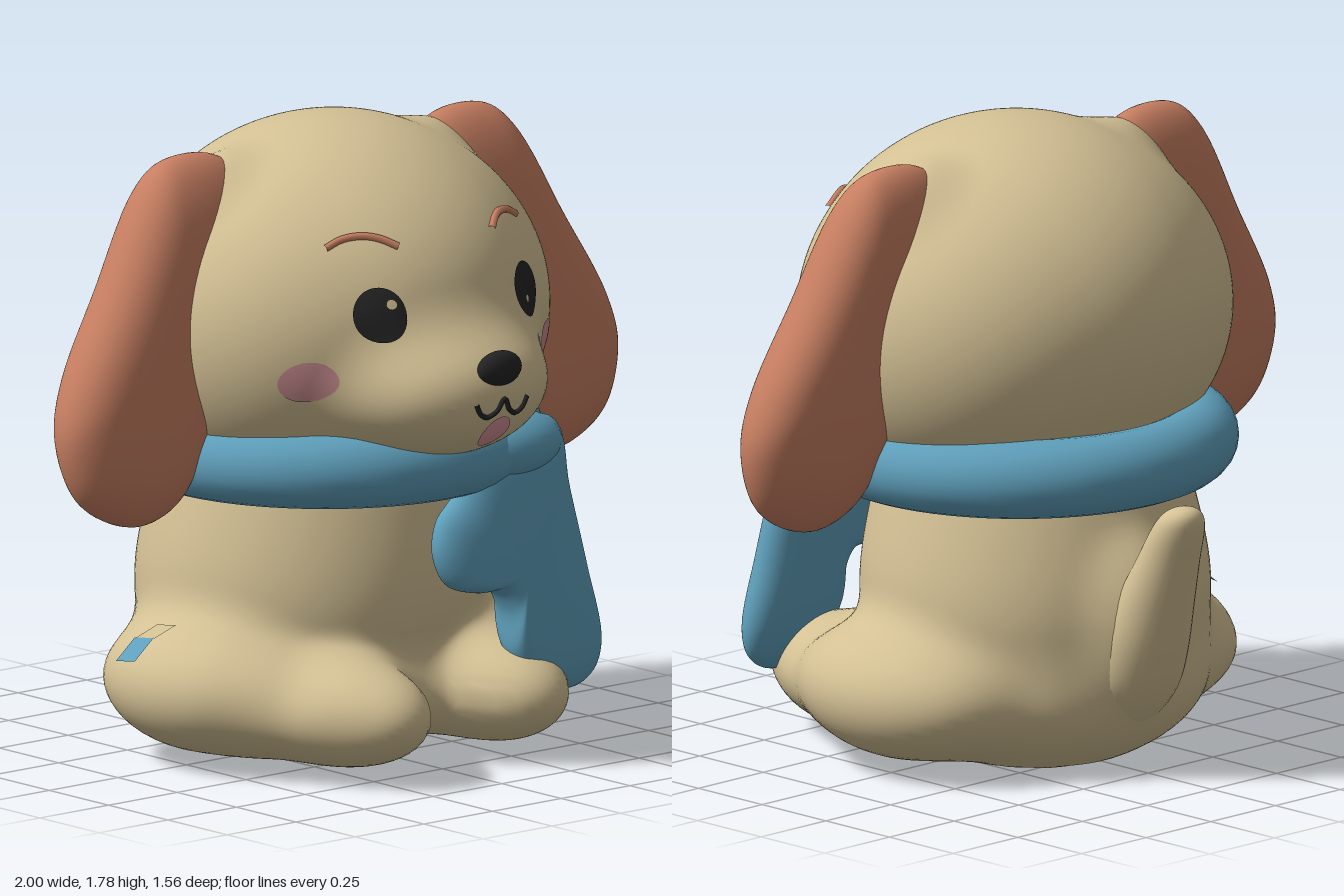
import * as THREE from 'three';
import { mergeVertices } from 'three/addons/utils/BufferGeometryUtils.js';

const mat = (name, color, side = THREE.FrontSide) => {
  const m = new THREE.MeshStandardMaterial({ color, side });
  m.name = name;
  return m;
};

// Signed distance (approximate) to an ellipsoid given as [cx, cy, cz, rx, ry, rz]
function ellipsoid(p, [cx, cy, cz, a, b, c]) {
  const x = p.x - cx, y = p.y - cy, z = p.z - cz;
  const k0 = Math.hypot(x / a, y / b, z / c);
  const k1 = Math.hypot(x / (a * a), y / (b * b), z / (c * c));
  return k1 < 1e-6 ? -Math.min(a, b, c) : k0 * (k0 - 1) / k1;
}

// Smoothly blended union of ellipsoids
const blend = (parts, k) => (p) => parts.reduce((d, e) => {
  const f = ellipsoid(p, e), h = Math.max(k - Math.abs(d - f), 0) / k;
  return Math.min(d, f) - h * h * k / 4;
}, 10);

// Walk along a ray until the blended surface is met
function march(field, origin, dir, t) {
  const p = new THREE.Vector3();
  for (let i = 0; i < 120; i++) {
    const d = field(p.copy(origin).addScaledVector(dir, t));
    if (d < 0.0001) break;
    t -= d * 0.6;
  }
  return p;
}

function smooth(geo) {
  geo.deleteAttribute('uv');
  geo.deleteAttribute('normal');
  const g = mergeVertices(geo, 1e-5);
  g.computeVertexNormals();
  return g;
}

// Sphere shrink-wrapped onto a blended surface
function wrap(field, center) {
  const g = new THREE.SphereGeometry(1, 144, 108), pos = g.attributes.position;
  const d = new THREE.Vector3();
  for (let i = 0; i < pos.count; i++) {
    d.fromBufferAttribute(pos, i).normalize();
    const p = march(field, center, d, 1.4);
    pos.setXYZ(i, p.x, Math.max(p.y, 0), p.z);
  }
  return smooth(g);
}

// Rounded cushion with a given front outline; zAt gives its mid-plane
function pillow(points, half, zAt, power) {
  const pts = points.map(([x, y]) => new THREE.Vector3(x, y, 0));
  if (THREE.ShapeUtils.isClockWise(pts)) pts.reverse();
  const curve = new THREE.CatmullRomCurve3(pts, true);
  const c = pts.reduce((s, p) => s.add(p), new THREE.Vector3()).divideScalar(pts.length);
  const g = new THREE.SphereGeometry(1, 96, 32), pos = g.attributes.position, uv = g.attributes.uv;
  for (let i = 0; i < pos.count; i++) {
    const a = Math.acos(THREE.MathUtils.clamp(pos.getY(i), -1, 1));
    const u = (Math.round(uv.getX(i) * 192) % 192) / 192;
    const p = curve.getPoint(u).sub(c).multiplyScalar(Math.pow(Math.max(Math.sin(a), 0), power)).add(c);
    pos.setXYZ(i, p.x, p.y, zAt(p.y) + half * Math.cos(a));
  }
  return smooth(g);
}

export function createModel() {
  const group = new THREE.Group();
  const fur = mat('tan fur', 0xd3c094), ear = mat('rust ear', 0xc67e61);
  const blue = mat('blue scarf', 0x5f9fbb), black = mat('black', 0x232323);
  const blush = mat('mauve blush', 0xc98c8f), pink = mat('pink tongue', 0xda949a);
  const add = (name, geo, material) => {
    const m = new THREE.Mesh(geo, material);
    m.name = name;
    group.add(m);
    return m;
  };
  const ball = (name, material, [x, y, z, a, b, c]) => {
    const m = add(name, new THREE.SphereGeometry(1, 32, 20), material);
    m.position.set(x, y, z);
    m.scale.set(a, b, c);
  };

  // Head with forehead, ear roots and muzzle
  const headField = blend([
    [0, 1.25, 0.03, 0.59, 0.525, 0.56],
    [0, 1.27, 0.19, 0.4, 0.35, 0.395],
    ...[-1, 1].flatMap((s) => [
      [s * 0.23, 1.21, 0.02, 0.4, 0.42, 0.44],
      [s * 0.37, 1.56, 0, 0.12, 0.13, 0.085],
    ]),
    [0, 1.095, 0.455, 0.33, 0.21, 0.305],
  ], 0.1);
  add('head', wrap(headField, new THREE.Vector3(0, 1.2, 0.1)), fur);

  // Sitting body with haunches, legs, feet and the root of the tail
  const bodyField = blend([
    [0, 0.6, -0.05, 0.455, 0.55, 0.455],
    [0, 0.42, -0.06, 0.485, 0.42, 0.465],
    [0, 0.22, -0.1, 0.47, 0.25, 0.42],
    [0.05, 0.44, -0.48, 0.13, 0.22, 0.13],
    [0, 0.18, 0.26, 0.25, 0.13, 0.18],
    ...[-1, 1].flatMap((s) => [
      [s * 0.43, 0.225, 0.01, 0.245, 0.19, 0.34],
      [s * 0.32, 0.185, 0.25, 0.2, 0.14, 0.28],
      [s * 0.25, 0.185, 0.44, 0.165, 0.14, 0.235],
    ]),
  ], 0.1);
  add('body', wrap(bodyField, new THREE.Vector3(0, 0.18, 0.2)), fur);

  // Tail, a tapering cone leaning back
  const profile = [[0.01, 0.1], [0.1, 0.15], [0.14, 0.25], [0.135, 0.37], [0.11, 0.52], [0.088, 0.65],
    [0.075, 0.74], [0.06, 0.787], [0.034, 0.812], [0, 0.82]].map(([r, y]) => new THREE.Vector2(r, y));
  const tail = new THREE.LatheGeometry(new THREE.SplineCurve(profile).getPoints(40)
    .map((p) => p.setX(Math.max(p.x, 0))), 32);
  tail.applyMatrix4(new THREE.Matrix4().set(1, 0.1, 0, 0.01, 0, 1, 0, 0, 0, -0.5, 1, -0.33, 0, 0, 0, 1));
  add('tail', smooth(tail), fur);

  // Scarf ring, soft knot, and the hanging end with a short lobe beside it
  const ring = new THREE.TorusGeometry(0.495, 0.11, 24, 80).rotateX(Math.PI / 2);
  add('scarfRing', ring.translate(0, 0.872, 0.005), blue);
  ball('scarfKnot', blue, [0.24, 0.875, 0.46, 0.2, 0.1, 0.135]);
  add('scarfEnd', pillow([[0.41, 0.93], [0.27, 0.95], [0.13, 0.9], [0.05, 0.77], [-0.02, 0.7], [-0.04, 0.61],
    [0, 0.52], [0.08, 0.49], [0.16, 0.485], [0.2, 0.42], [0.21, 0.3], [0.28, 0.21], [0.42, 0.18], [0.5, 0.22],
    [0.53, 0.3], [0.49, 0.52], [0.44, 0.76]], 0.07, (y) => 0.568 - 0.085 * y, 0.45), blue);

  // Conforming helpers for the face
  const forward = new THREE.Vector3(0, 0, 1);
  const frontZ = (x, y) => march(headField, new THREE.Vector3(x, y, 0), forward, 1).z;
  const onFace = (pts, lift) => new THREE.CatmullRomCurve3(
    pts.map(([x, y]) => new THREE.Vector3(x, y, frontZ(x, y) + lift)));
  const decal = (name, material, x, y, rx, ry, tilt, lift, dome) => {
    const g = new THREE.RingGeometry(0.001, 1, 40, 6), pos = g.attributes.position;
    const c = Math.cos(tilt), s = Math.sin(tilt);
    for (let i = 0; i < pos.count; i++) {
      const u = pos.getX(i), v = pos.getY(i);
      const px = x + u * rx * c - v * ry * s, py = y + u * rx * s + v * ry * c;
      pos.setXYZ(i, px, py, frontZ(px, py) + lift + dome * (1 - u * u - v * v));
    }
    add(name, smooth(g), material);
  };

  for (const s of [-1, 1]) {
    const side = s > 0 ? 'left' : 'right';
    // Floppy ear
    add(side + 'Ear', pillow([[0.34, 1.66], [0.42, 1.715], [0.58, 1.715], [0.655, 1.66], [0.81, 1.4], [0.965, 1.13],
      [1.0, 0.98], [0.95, 0.82], [0.85, 0.745], [0.73, 0.72], [0.61, 0.77], [0.52, 0.92], [0.44, 1.2], [0.35, 1.5]]
      .map(([x, y]) => [s * x, y]), 0.122, (y) => 0.065 - 0.07 * (y - 0.8), 0.55), ear);
    // Eye, cheek and brow
    decal(side + 'Eye', black, s * 0.265, 1.325, 0.066, 0.075, s * 0.25, 0.008, 0.01);
    decal(side + 'Cheek', blush, s * 0.43, 1.14, 0.063, 0.058, 0, 0.005, 0);
    const brow = onFace([[0.17, 1.5], [0.21, 1.522], [0.25, 1.53], [0.3, 1.523], [0.345, 1.502]]
      .map(([x, y]) => [s * x, y]), 0.002);
    add(side + 'Brow', new THREE.TubeGeometry(brow, 24, 0.011, 8), ear);
  }
  decal('rightEyeGlint', fur, -0.24, 1.355, 0.014, 0.014, 0, 0.021, 0);
  decal('leftEyeGlint', fur, 0.245, 1.305, 0.01, 0.01, 0, 0.021, 0);

  // Nose, mouth and tongue
  ball('nose', black, [0, 1.17, frontZ(0, 1.17), 0.075, 0.05, 0.036]);
  const mouth = onFace([[-0.092, 1.082], [-0.075, 1.052], [-0.05, 1.04], [-0.022, 1.055], [0, 1.088],
    [0.022, 1.055], [0.05, 1.04], [0.075, 1.052], [0.092, 1.082]], 0.002);
  add('mouth', new THREE.TubeGeometry(mouth, 48, 0.007, 8), black);
  decal('tongue', pink, 0, 0.988, 0.046, 0.048, 0, 0.006, 0.004);

  // Small two-coloured tab on the right thigh
  const tab = (name, color, a, b) => {
    const g = new THREE.PlaneGeometry(1, 0.08).rotateX(-Math.PI / 2);
    const m = add(name, g, color);
    m.position.set((a[0] + b[0]) / 2, (a[1] + b[1]) / 2, 0.01);
    m.rotation.set(-0.14, 0, Math.atan2(b[1] - a[1], b[0] - a[0]));
    m.scale.x = Math.hypot(b[0] - a[0], b[1] - a[1]);
  };
  tab('tabInner', mat('tan tab', 0xd3c094, THREE.DoubleSide), [-0.66, 0.383], [-0.58, 0.408]);
  tab('tabOuter', mat('blue tab', 0x5f9fbb, THREE.DoubleSide), [-0.735, 0.328], [-0.66, 0.383]);
  return group;
}
